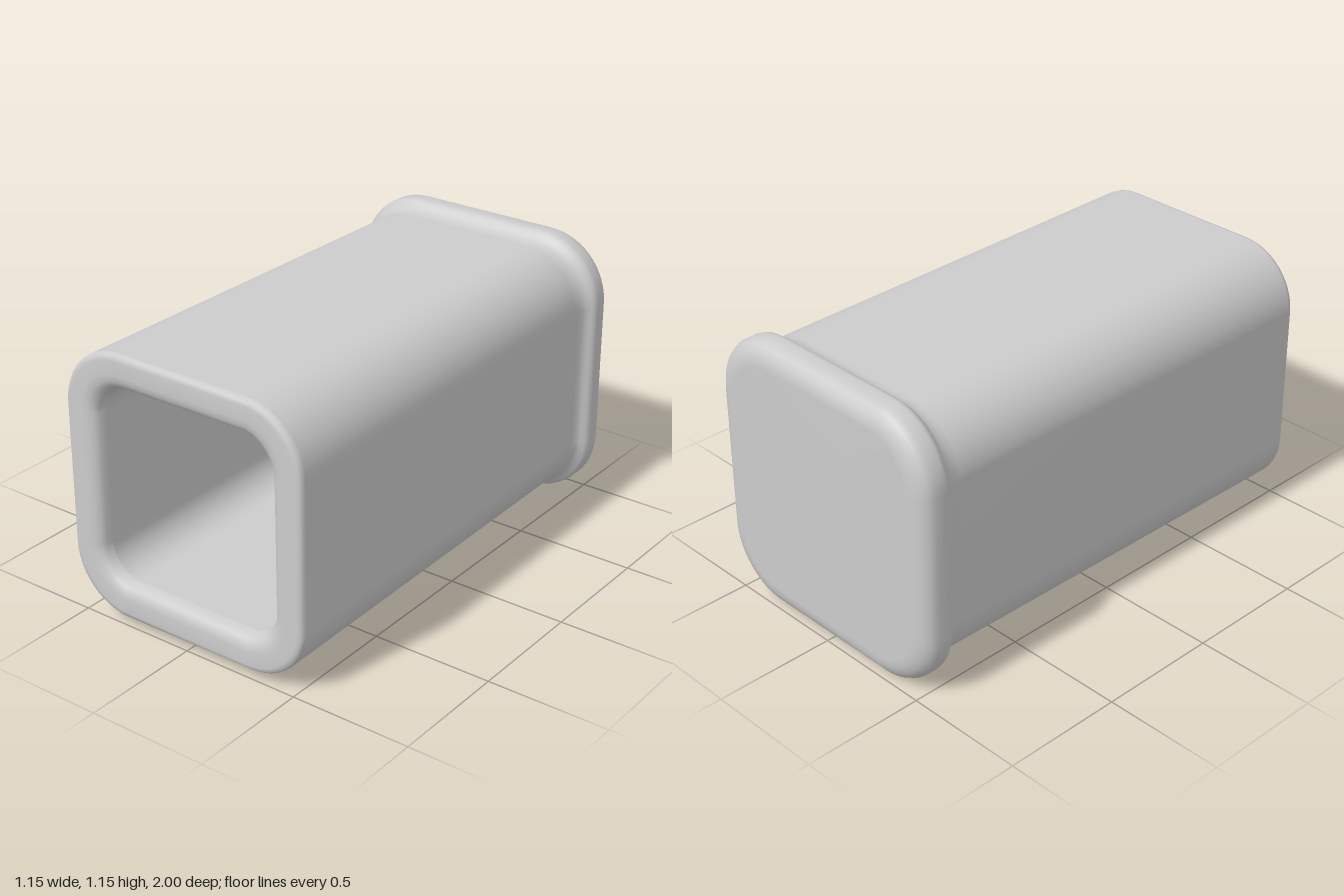
import * as THREE from 'three';

const CORNER_STEPS = 12;
const CENTRE_Y = 0.573;

// One rounded-square cross-section, anticlockwise seen from the front
function ring(half, radius, z) {
  const points = [];
  const c = half - radius;
  for (let q = 0; q < 4; q++) {
    const sx = q === 0 || q === 3 ? 1 : -1;
    const sy = q < 2 ? 1 : -1;
    for (let k = 0; k <= CORNER_STEPS; k++) {
      const a = (q + k / CORNER_STEPS) * Math.PI / 2;
      points.push(sx * c + radius * Math.cos(a), sy * c + radius * Math.sin(a), z);
    }
  }
  return points;
}

// Skin over a row of [half width, corner radius, z] sections
function loft(sections) {
  const n = 4 * (CORNER_STEPS + 1);
  const positions = sections.flatMap(([h, r, z]) => ring(h, r, z));
  const index = [];
  for (let i = 0; i < sections.length - 1; i++) {
    for (let j = 0; j < n; j++) {
      const a = i * n + j, b = i * n + (j + 1) % n;
      index.push(a, b, a + n, b, b + n, a + n);
    }
  }
  const geometry = new THREE.BufferGeometry();
  geometry.setAttribute('position', new THREE.Float32BufferAttribute(positions, 3));
  geometry.setIndex(index);
  geometry.computeVertexNormals();
  return geometry;
}

export function createModel() {
  const group = new THREE.Group();
  group.name = 'squareTubePlug';
  const grey = new THREE.MeshStandardMaterial({ color: 0xcccccc });
  grey.name = 'grey';

  const add = (name, sections) => {
    const mesh = new THREE.Mesh(loft(sections), grey);
    mesh.name = name;
    mesh.position.y = CENTRE_Y;
    group.add(mesh);
  };

  // Closed end with its rounded flange
  add('endFlange', [
    [0.002, 0.001, -1], [0.48, 0.19, -1], [0.51, 0.22, -0.998],
    [0.538, 0.245, -0.988], [0.56, 0.262, -0.97], [0.572, 0.272, -0.945],
    [0.573, 0.273, -0.9], [0.57, 0.27, -0.885], [0.56, 0.262, -0.873],
    [0.545, 0.25, -0.862], [0.535, 0.242, -0.845], [0.53, 0.237, -0.82],
    [0.53, 0.237, -0.8],
  ]);

  // Slightly flaring outer wall
  add('outerWall', [[0.53, 0.237, -0.8], [0.545, 0.25, 0.975]]);

  // Rounded rim around the opening
  add('rim', [
    [0.545, 0.25, 0.975], [0.543, 0.248, 0.986], [0.536, 0.243, 0.996],
    [0.52, 0.23, 1], [0.465, 0.18, 1], [0.44, 0.16, 0.996],
    [0.42, 0.145, 0.985], [0.408, 0.136, 0.968], [0.403, 0.132, 0.94],
  ]);

  // Hollow inside and its floor
  add('innerWall', [
    [0.403, 0.132, 0.94], [0.4, 0.13, -0.82], [0.397, 0.128, -0.84],
    [0.388, 0.12, -0.855], [0.37, 0.105, -0.86], [0.002, 0.001, -0.86],
  ]);
  return group;
}
